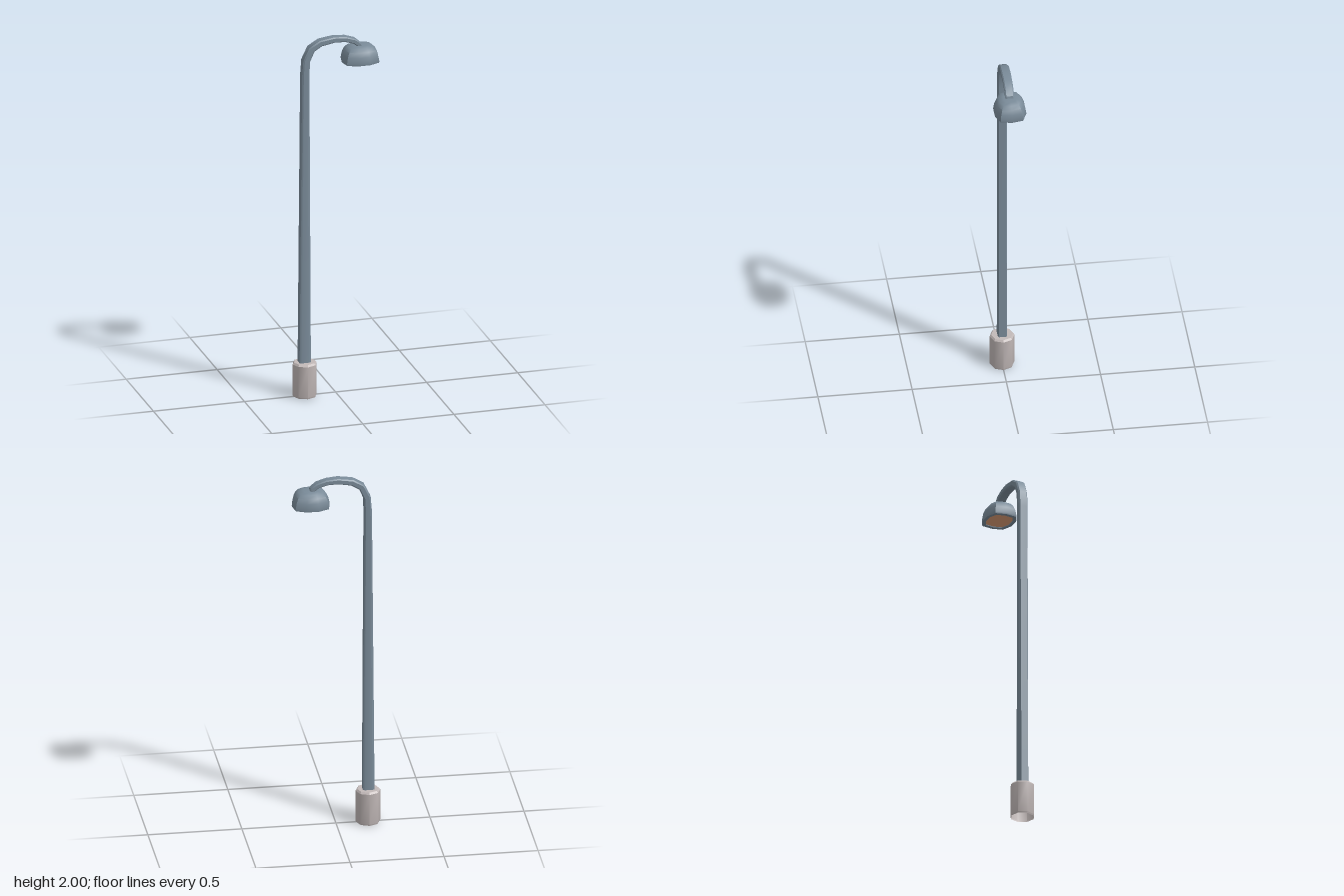
import * as THREE from 'three';
import { toCreasedNormals } from 'three/addons/utils/BufferGeometryUtils.js';

// Skin a list of rings (arrays of Vector3), optionally closing either end
function loft(rings, crease, { bottom = false, top = false } = {}) {
  const n = rings[0].length;
  const points = rings.flat();
  const index = [];
  for (let j = 0; j < rings.length - 1; j++) {
    for (let i = 0; i < n; i++) {
      const a = j * n + i, b = j * n + (i + 1) % n;
      index.push(a, a + n, b, b, a + n, b + n);
    }
  }
  const cap = (start, up) => {
    const ring = points.slice(start, start + n);
    const centre = ring.reduce((s, p) => s.add(p), new THREE.Vector3()).divideScalar(n);
    const c = points.push(centre) - 1;
    for (let i = 0; i < n; i++) {
      const a = start + i, b = start + (i + 1) % n;
      index.push(c, up ? b : a, up ? a : b);
    }
  };
  if (bottom) cap(0, false);
  if (top) cap((rings.length - 1) * n, true);
  const geometry = new THREE.BufferGeometry().setFromPoints(points);
  geometry.setIndex(index);
  return toCreasedNormals(geometry, crease);
}

// Eight-sided horizontal ring for the footing
function baseRing([y, r]) {
  return Array.from({ length: 8 }, (_, i) => {
    const t = (i / 8) * Math.PI * 2;
    return new THREE.Vector3(Math.cos(t) * r, y, Math.sin(t) * r);
  });
}

// Ten-sided oval outline for the lamp, scaled by s at height y
const OVAL = [
  [0.101, 0], [0.089, 0.06], [0.034, 0.084], [-0.034, 0.084], [-0.089, 0.06],
  [-0.101, 0], [-0.089, -0.06], [-0.034, -0.084], [0.034, -0.084], [0.089, -0.06],
];
function lampRing([y, s]) {
  return OVAL.map(([x, z]) => new THREE.Vector3(x * s, y, z * s));
}

export function createModel() {
  const group = new THREE.Group();
  group.name = 'streetLamp';
  const metal = new THREE.MeshStandardMaterial({ color: 0x7a8b99 });
  metal.name = 'blueGreyMetal';
  const concrete = new THREE.MeshStandardMaterial({ color: 0xc2b9b8, side: THREE.DoubleSide });
  concrete.name = 'warmGreyConcrete';
  const glow = new THREE.MeshStandardMaterial({ color: 0xdc9c74 });
  glow.name = 'amberLens';

  const add = (name, geometry, material, x = 0) => {
    const mesh = new THREE.Mesh(geometry, material);
    mesh.name = name;
    mesh.position.x = x;
    group.add(mesh);
  };

  // Footing, open underneath, with a bevelled upper rim
  const baseX = -0.17;
  const body = [[0, 0.063], [0.008, 0.066], [0.18, 0.066]];
  const rim = [[0.18, 0.066], [0.19, 0.058]];
  add('base', loft(body.map(baseRing), 0.82), concrete, baseX);
  add('baseRim', loft(rim.map(baseRing), 0.6, { top: true }), concrete, baseX);

  // Tapering pole and curved arm: x, y, half depth along the bend, half width
  const path = [
    [-0.172, 0.17, 0.031, 0.025], [-0.169, 1.8, 0.02, 0.025], [-0.164, 1.88, 0.019, 0.025],
    [-0.135, 1.943, 0.018, 0.025], [-0.085, 1.973, 0.0165, 0.025], [-0.01, 1.985, 0.015, 0.025],
    [0.05, 1.981, 0.014, 0.024], [0.1, 1.965, 0.0135, 0.024],
    [0.126, 1.943, 0.013, 0.024], [0.132, 1.92, 0.012, 0.024],
  ];
  const poleRings = path.map(([x, y, u, w], i) => {
    const p = path[Math.max(i - 1, 0)], q = path[Math.min(i + 1, path.length - 1)];
    const tangent = new THREE.Vector2(q[0] - p[0], q[1] - p[1]).normalize();
    const ui = u * 0.62, wi = w - 0.006;
    const section = [
      [u, -wi], [u, wi], [ui, w], [-ui, w],
      [-u, wi], [-u, -wi], [-ui, -w], [ui, -w],
    ];
    return section.map(([a, b]) => new THREE.Vector3(x + tangent.y * a, y - tangent.x * a, b));
  });
  add('poleAndArm', loft(poleRings, 0.6, { bottom: true, top: true }), metal);

  // Domed shade, with a rim turned inward around the lens
  const lampX = 0.134;
  const shade = [
    [1.857, 0.76], [1.847, 0.78], [1.847, 0.98], [1.855, 1], [1.89, 0.93],
    [1.915, 0.82], [1.932, 0.66], [1.938, 0.4],
  ];
  add('lampShade', loft(shade.map(lampRing), 0.8, { top: true }), metal, lampX);

  // Lens facing down inside the rim
  const lens = [[1.851, 0.77], [1.857, 0.77]];
  add('lampLens', loft(lens.map(lampRing), 0.7, { bottom: true }), glow, lampX);

  return group;
}
